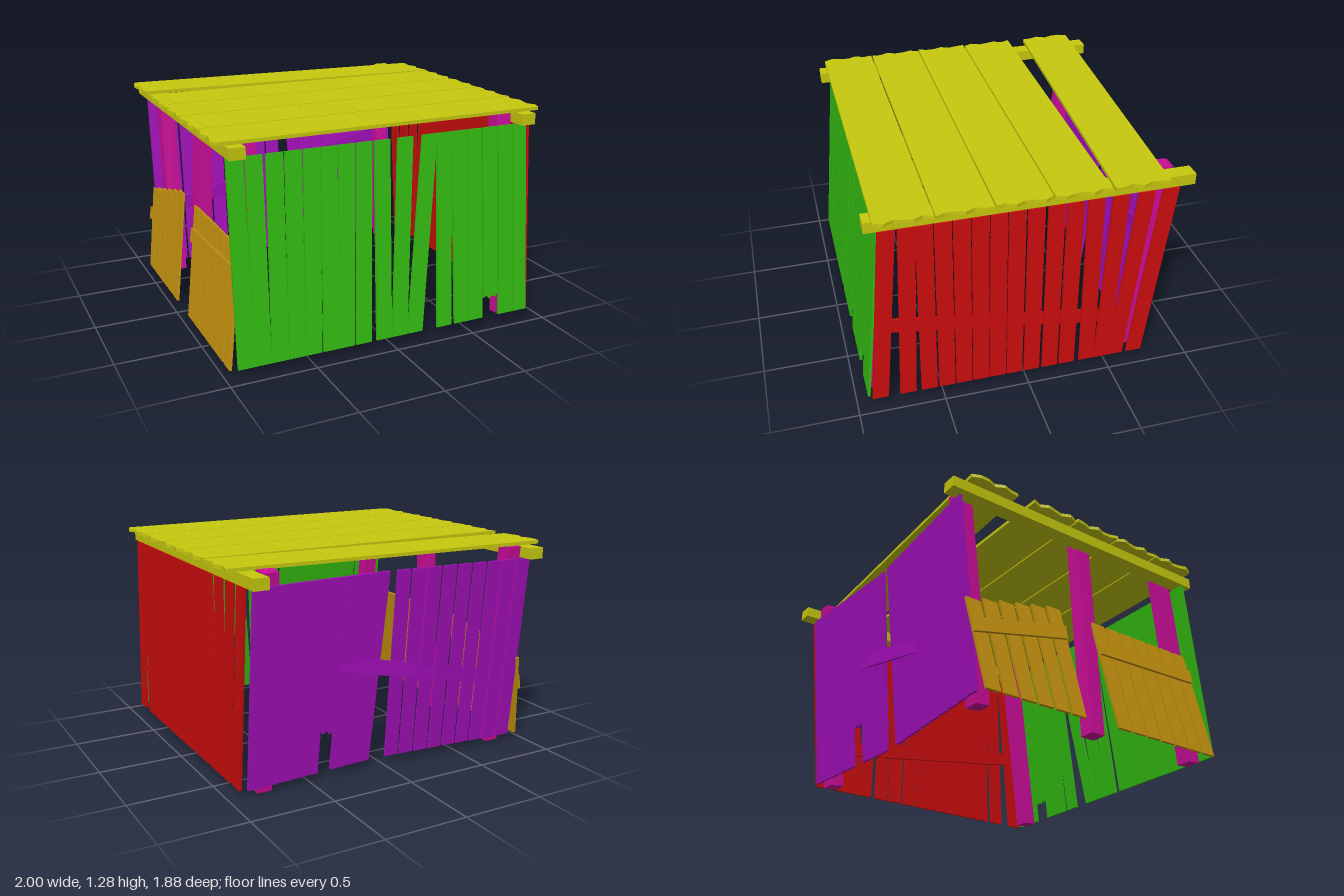
import * as THREE from 'three';

const V = (x, y, z) => new THREE.Vector3(x, y, z);
const mix = THREE.MathUtils.lerp;
const mat = (color) => new THREE.MeshStandardMaterial({ color, flatShading: true });
const RED = mat(0xcc0d0d), GREEN = mat(0x33bb11), YELLOW = mat(0xc6c80e);
const MAGENTA = mat(0xcc0d9a), PURPLE = mat(0xa50fbc), ORANGE = mat(0xc4930f);

// Unit board whose two ends follow lists of splinter depths
function raggedBoard(low, high) {
  const pts = [];
  low.forEach((d, i) => pts.push(new THREE.Vector2(i / (low.length - 1) - 0.5, -0.5 + d)));
  high.forEach((d, i) => pts.push(new THREE.Vector2(0.5 - i / (high.length - 1), 0.5 - d)));
  const geo = new THREE.ExtrudeGeometry(new THREE.Shape(pts), { depth: 1, bevelEnabled: false });
  return geo.translate(0, 0, -0.5);
}

// Board from a to b; its ends stay parallel to the width vector
function board(parent, name, a, b, width, thick, material, geo = new THREE.BoxGeometry(1, 1, 1)) {
  const along = b.clone().sub(a);
  const normal = width.clone().cross(along).setLength(thick);
  const m = new THREE.Matrix4().makeBasis(width, along, normal);
  m.setPosition(a.clone().add(b).multiplyScalar(0.5));
  const mesh = new THREE.Mesh(geo.applyMatrix4(m), material);
  mesh.name = name;
  parent.add(mesh);
}

function part(root, name) {
  const g = new THREE.Group();
  g.name = name;
  root.add(g);
  return g;
}

export function createModel() {
  const root = new THREE.Group();
  root.name = 'shack';

  // Roof planks with splintered ends, the rear one skewed
  const roof = part(root, 'roof');
  const roofRows = [[0.685, 0.685], [0.365, 0.365], [0.045, 0.045], [-0.275, -0.275], [-0.695, -0.605]];
  roofRows.forEach(([zl, zr], i) => {
    const jag = (s) => [0, 1, 2, 3, 4, 5, 6].map((k) => 0.007 + 0.007 * Math.sin(k * 2.3 + i * 1.9 + s));
    board(roof, 'roofPlank', V(-1, 1.27, zl), V(1, 1.27, zr), V(0, 0, 0.312), 0.02, YELLOW,
      raggedBoard(jag(0), jag(2.6)));
  });

  // Side beams under the roof
  const frame = part(root, 'frame');
  for (const s of [-1, 1]) {
    board(frame, 'sideBeam', V(s * 0.885, 1.222, -0.94), V(s * 0.885, 1.222, 0.885), V(0.09, 0, 0), 0.065, YELLOW);
  }

  // Leaning corner posts and one middle post: top x, top z, bottom x, y, z
  const posts = [
    [0.785, 0.735, 0.785, 0.03, 0.865], [-0.795, 0.735, -0.795, 0.03, 0.865],
    [0.785, -0.805, 0.785, 0.01, -0.675], [-0.795, -0.805, -0.795, 0.01, -0.675],
    [-0.8, 0.05, -0.855, 0, 0.05],
  ];
  for (const [tx, tz, bx, by, bz] of posts) {
    board(frame, 'post', V(bx, by, bz), V(tx, 1.26, tz), V(0.09, 0, 0), 0.09, MAGENTA);
  }

  // Front wall: top x and bottom x of each plank
  const front = part(root, 'frontWall');
  const frontPlanks = [
    [-0.88, -0.885], [-0.775, -0.79], [-0.66, -0.69], [-0.555, -0.59], [-0.45, -0.49], [-0.35, -0.385],
    [-0.245, -0.29], [-0.14, -0.185], [-0.03, -0.055], [0.115, 0.045], [0.27, 0.145], [0.365, 0.34],
    [0.46, 0.46], [0.56, 0.56], [0.665, 0.665], [0.77, 0.77], [0.87, 0.87],
  ];
  frontPlanks.forEach(([top, bottom], i) => {
    const broken = i === 14;
    const y = broken ? 0.16 : 0.05;
    board(front, 'frontPlank', V(bottom, y, broken ? 0.918 : 0.93), V(top, 1.185, 0.812), V(0.096, 0, 0), 0.015, GREEN,
      broken ? raggedBoard([0.01, 0.02, 0, 0.015, 0.005, 0.025], [0, 0]) : undefined);
  });

  // Right wall: top z and bottom z of each plank
  const right = part(root, 'rightWall');
  const rightPlanks = [
    [0.77, 0.867], [0.665, 0.705], [0.574, 0.58], [0.474, 0.474], [0.373, 0.373], [0.272, 0.272],
    [0.171, 0.171], [0.07, 0.07], [-0.035, -0.035], [-0.146, -0.146], [-0.252, -0.252],
    [-0.368, -0.378], [-0.51, -0.474], [-0.66, -0.56], [-0.8, -0.68],
  ];
  for (const [top, bottom] of rightPlanks) {
    board(right, 'rightPlank', V(0.932, 0.045, bottom), V(0.932, 1.19, top), V(0, 0, 0.094), 0.015, RED);
  }
  board(right, 'rightRail', V(0.917, 0.55, 0.79), V(0.917, 0.335, -0.56), V(0, 0.09, 0), 0.015, RED);

  // Back wall: two panels, bowed in at the middle
  const back = part(root, 'backWall');
  for (const s of [-1, 1]) {
    const count = 9;
    for (let i = 0; i < count; i++) {
      const t = i / (count - 1);
      const top = s * mix(0.85, s > 0 ? 0.085 : 0.05, t);
      const bottom = s * mix(0.85, s > 0 ? 0.14 : 0.06, t);
      const z = s > 0 ? mix(-0.85, -0.8, t) : mix(-0.865, -0.805, t);
      const broken = s > 0 && i === 5;
      const y = broken ? 0.27 : 0.045;
      board(back, 'backPlank', V(bottom, y, z + (broken ? 0.09 : 0.115)), V(top, 1.185, z), V(0.088, 0, 0), 0.015, PURPLE,
        broken ? raggedBoard([0.02, 0, 0.03, 0.01, 0.04], [0, 0]) : undefined);
    }
  }
  board(back, 'backRail', V(-0.7, 0.45, -0.755), V(0.75, 0.78, -0.765), V(0, 0.09, 0), 0.015, PURPLE);

  // Left side: two low fence panels leaning inward with a gap by the middle post
  const left = part(root, 'leftFence');
  const panels = [
    { z0: 0.19, z1: 0.85, count: 7, h0: 0.7, h1: 0.7 },
    { z0: -0.7, z1: -0.14, count: 6, h0: 0.56, h1: 0.7 },
  ];
  const leanX = (y) => -0.968 + 0.14 * y;
  for (const { z0, z1, count, h0, h1 } of panels) {
    for (let i = 0; i < count; i++) {
      const t = i / (count - 1);
      const z = mix(z0, z1, t), h = mix(h0, h1, t);
      board(left, 'fencePlank', V(leanX(0.035), 0.035, z), V(leanX(h), h, z - 0.08), V(0, 0, 0.093), 0.015, ORANGE);
    }
    const ya = h0 - 0.17, yb = h1 - 0.15;
    board(left, 'fenceRail', V(leanX(ya) - 0.016, ya, z0 - 0.1), V(leanX(yb) - 0.016, yb, z1 - 0.02),
      V(0.012, 0.085, 0), 0.015, ORANGE);
  }
  return root;
}
